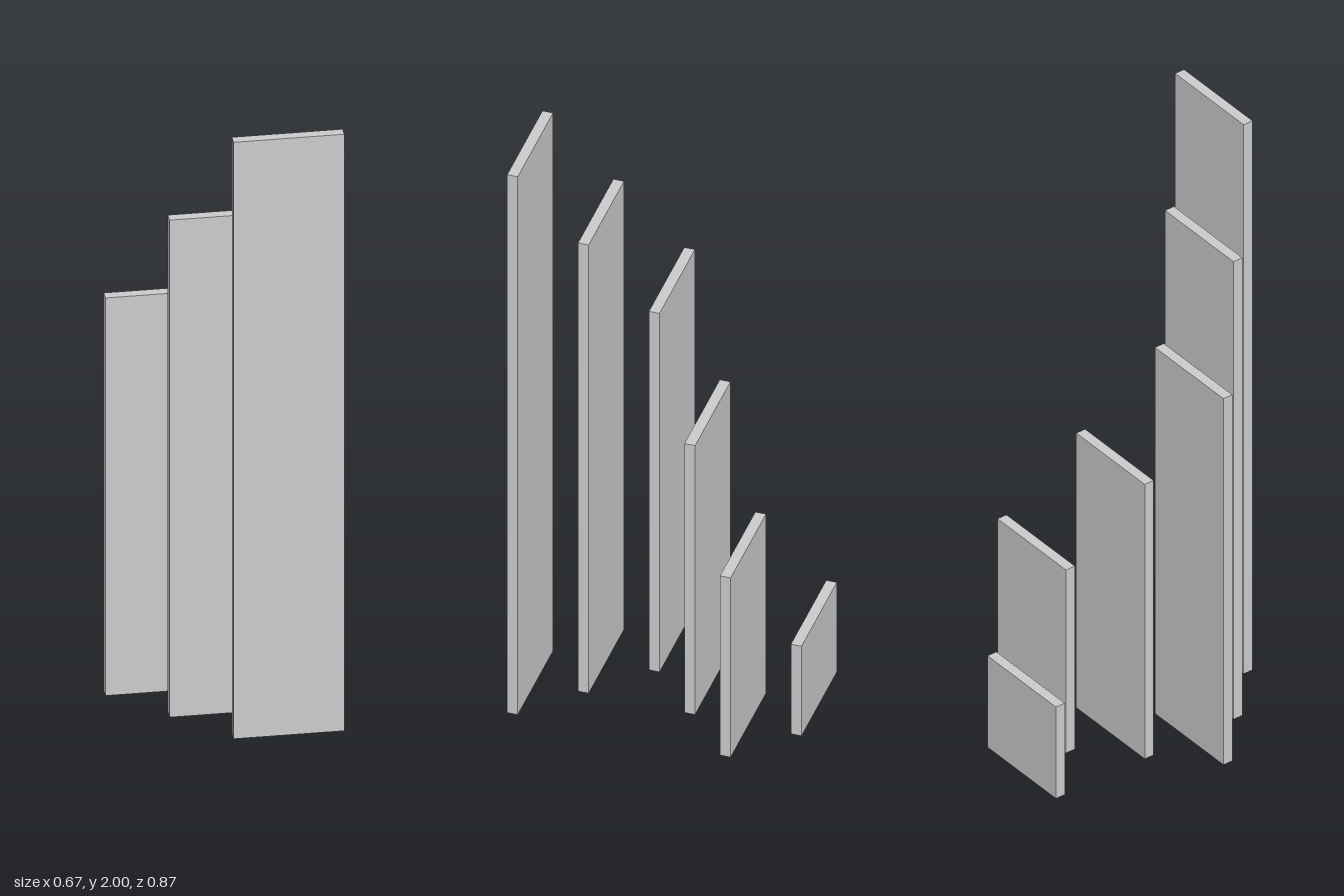
import * as THREE from 'three';

export function createModel() {
  const group = new THREE.Group();
  const material = new THREE.MeshStandardMaterial({ color: 0xcccccc });
  const unit = 1 / 6;
  const count = 6;

  // Upright slabs, rising from back to front and swaying side to side
  for (let i = 0; i < count; i++) {
    const height = 2 * unit * (i + 1);
    const sway = Math.round(Math.sin(i * Math.PI / 2));
    const slab = new THREE.Mesh(new THREE.BoxGeometry(2 * unit, height, 0.2 * unit), material);
    slab.position.set(sway * unit, height / 2, (i - (count - 1) / 2) * unit);
    slab.name = `slab${i + 1}`;
    group.add(slab);
  }
  return group;
}
